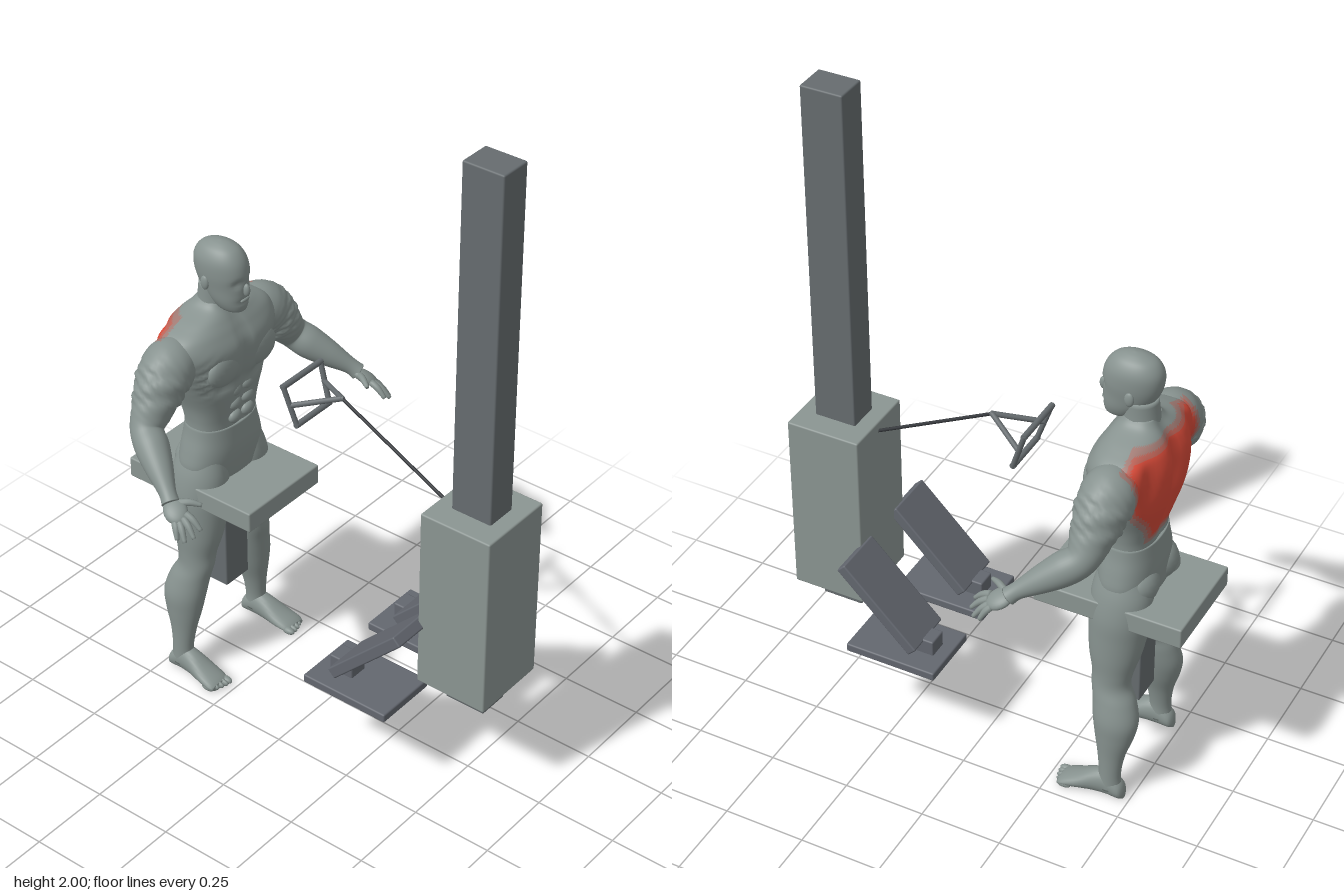
import * as THREE from 'three';
import { RoundedBoxGeometry } from 'three/addons/geometries/RoundedBoxGeometry.js';

const mat = (name, color) => Object.assign(new THREE.MeshStandardMaterial({ color }), { name });
const M = {
  skin: mat('skin grey', 0x87928f), red: mat('muscle red', 0xd84a38),
  blendA: mat('muscle blend strong', 0xbb6256), blendB: mat('muscle blend soft', 0xa17a73),
  pad: mat('pad grey', 0x8b9592), metal: mat('column grey', 0x666c6f),
  plate: mat('plate slate', 0x63676f), cable: mat('cable dark', 0x33363a),
};
const SKINS = [M.skin, M.blendB, M.blendA, M.red];
const V = (x, y, z) => new THREE.Vector3(x, y, z);
const bump = (d, w) => Math.exp(-(d * d) / (w * w));
const TAU = Math.PI * 2;

// Smoothly resample rows of numbers
function spline(keys, n) {
  const out = [], last = keys.length - 1;
  for (let i = 0; i <= n; i++) {
    const u = (i / n) * last, j = Math.min(Math.floor(u), last - 1), t = u - j;
    const [a, b, c, d] = [-1, 0, 1, 2].map(o => keys[Math.max(0, Math.min(last, j + o))]);
    out.push(b.map((_, k) => 0.5 * (2 * b[k] + (c[k] - a[k]) * t + (2 * a[k] - 5 * b[k] + 4 * c[k] - d[k]) * t * t
      + (3 * b[k] - a[k] - 3 * c[k] + d[k]) * t ** 3)));
  }
  return out;
}

// Closed skin through rings of points; shade(p) picks a skin index for each face
function loft(rings, shade = () => 0) {
  const n = rings[0].length, pts = rings.flat(), tris = [];
  for (let r = 0; r < rings.length - 1; r++) for (let i = 0; i < n; i++) {
    const a = r * n + i, b = r * n + (i + 1) % n;
    tris.push([a, a + n, b], [b, a + n, b + n]);
  }
  [[0, 1], [rings.length - 1, -1]].forEach(([r, s]) => {
    const c = pts.length;
    pts.push(rings[r].reduce((m, p) => m.add(p), V(0, 0, 0)).divideScalar(n));
    for (let i = 0; i < n; i++) {
      const a = r * n + i, b = r * n + (i + 1) % n;
      tris.push(s > 0 ? [c, a, b] : [c, b, a]);
    }
  });
  const origin = pts[pts.length - 1], cross = V(0, 0, 0), rel = i => pts[i].clone().sub(origin);
  const volume = tris.reduce((v, [a, b, c]) => v + rel(a).dot(cross.crossVectors(rel(b), rel(c))), 0);
  if (volume < 0) tris.forEach(t => t.reverse());
  const buckets = [[], [], [], []];
  tris.forEach(t => {
    const c = V(0, 0, 0);
    t.forEach(i => c.add(pts[i]));
    buckets[shade(c.divideScalar(3))].push(...t);
  });
  const g = new THREE.BufferGeometry().setFromPoints(pts);
  g.setIndex(buckets.flat());
  let start = 0;
  buckets.forEach((b, i) => { if (b.length) g.addGroup(start, b.length, i); start += b.length; });
  g.computeVertexNormals();
  return g;
}

// Horizontal ring from [y, centre x, half width, front z, back z]
function level([y, cx, rx, zf, zb], n, power = 1, warp = null) {
  return Array.from({ length: n }, (_, i) => {
    const c = Math.cos(i / n * TAU), s = Math.sin(i / n * TAU);
    const e = v => Math.sign(v) * Math.abs(v) ** power;
    const p = V(cx + rx * e(c), y, (zf + zb) / 2 + (zf - zb) / 2 * e(s));
    if (warp) warp(p, s);
    return p;
  });
}

// Limb rings across a path of [x, y, z, radius]
function limb(rows, n, rough = () => 0) {
  const at = i => V(...rows[Math.max(0, Math.min(rows.length - 1, i))]);
  return rows.map((r, i) => {
    const t = at(i + 1).sub(at(i - 1)).normalize();
    const u = V(Math.sign(r[0]) || 1, 1, 0.1).cross(t).normalize(), v = t.clone().cross(u);
    return Array.from({ length: n }, (_, k) => {
      const a = k / n * TAU, rad = r[3] * (1 + rough(i / (rows.length - 1), a));
      return at(i).addScaledVector(u, rad * Math.cos(a)).addScaledVector(v, rad * Math.sin(a));
    });
  });
}

// Highlighted back muscles, fading toward the edge
function backShade(p) {
  const w = 0.085 + 0.12 * THREE.MathUtils.smoothstep(p.y, 0.87, 1.1);
  const d = Math.min(w - Math.abs(p.x), p.y - 0.87, 1.215 - p.y, -0.445 - p.z);
  return d > 0.026 ? 3 : d > 0.014 ? 2 : d > 0.002 ? 1 : 0;
}

export function createModel() {
  const model = new THREE.Group();
  const machine = new THREE.Group(), figure = new THREE.Group();
  machine.name = 'rowingMachine'; figure.name = 'figure';
  model.add(machine, figure);
  const add = (parent, name, geo, material) => {
    const m = new THREE.Mesh(geo, material);
    m.name = name;
    parent.add(m);
    return m;
  };
  const box = (name, material, x0, x1, y0, y1, z0, z1) => {
    const m = add(machine, name, new RoundedBoxGeometry(x1 - x0, y1 - y0, z1 - z0, 2, 0.005), material);
    m.position.set((x0 + x1) / 2, (y0 + y1) / 2, (z0 + z1) / 2);
    return m;
  };
  const rod = (name, a, b, r, material) => {
    const m = add(machine, name, new THREE.CylinderGeometry(r, r, a.distanceTo(b) + r, 10), material);
    m.position.copy(a).lerp(b, 0.5);
    m.quaternion.setFromUnitVectors(V(0, 1, 0), b.clone().sub(a).normalize());
  };
  const ball = (name, x, y, z, rx, ry, rz) => {
    const m = add(figure, name, new THREE.SphereGeometry(1, 20, 14), M.skin);
    m.position.set(x, y, z);
    m.scale.set(rx, ry, rz);
    return m;
  };

  // Machine frame and seat
  box('column', M.metal, -0.05, 0.05, 0.27, 2, 0.45, 0.58);
  box('weightHousing', M.pad, -0.123, 0.123, 0.35, 0.93, 0.4, 0.63);
  box('seat', M.pad, -0.157, 0.157, 0.615, 0.68, -0.63, -0.175);
  box('seatPost', M.metal, -0.05, 0.05, 0.27, 0.62, -0.465, -0.36);

  // Foot rests
  for (const s of [-1, 1]) {
    const c = s * 0.15;
    box('footBase', M.plate, c - 0.102, c + 0.102, 0.27, 0.297, 0.095, 0.385);
    box('footBracket', M.plate, c - 0.031, c + 0.031, 0.29, 0.345, 0.135, 0.215);
    box('footPlate', M.plate, c - 0.081, c + 0.081, 0.425, 0.46, 0.13, 0.455).rotation.x = -Math.PI / 4;
  }

  // Cable and grip
  const apex = V(0, 1.085, 0.035);
  rod('cable', V(0, 0.9, 0.4), apex, 0.005, M.cable);
  rod('gripTopBar', V(-0.082, 1.107, -0.107), V(0.082, 1.107, -0.107), 0.009, M.metal);
  rod('gripBottomBar', V(-0.072, 0.99, -0.068), V(0.072, 0.99, -0.068), 0.009, M.metal);
  for (const s of [-1, 1]) {
    rod('gripSide', V(s * 0.082, 1.107, -0.107), V(s * 0.072, 0.99, -0.068), 0.008, M.metal);
    rod('gripArm', apex, V(s * 0.077, 1.05, -0.088), 0.008, M.metal);
  }

  // Torso with spine groove, chest cleft and rib folds
  const torso = spline([
    [0.845, 0, 0.116, -0.335, -0.488], [0.88, 0, 0.118, -0.333, -0.49], [0.93, 0, 0.128, -0.325, -0.505],
    [1.0, 0, 0.155, -0.315, -0.525], [1.07, 0, 0.18, -0.303, -0.535], [1.13, 0, 0.2, -0.303, -0.535],
    [1.175, 0, 0.19, -0.325, -0.522], [1.205, 0, 0.135, -0.345, -0.503], [1.23, 0, 0.07, -0.362, -0.482],
    [1.25, 0, 0.048, -0.37, -0.468]], 56);
  const torsoWarp = (p, s) => {
    const back = Math.max(0, -s), front = Math.max(0, s), x = Math.abs(p.x);
    p.z += back * (0.034 * bump(p.x, 0.026) * bump(p.y - 1.07, 0.14) + 0.02 * bump(x - 0.13, 0.03) * bump(p.y - 1.13, 0.08));
    p.z -= front * 0.014 * bump(p.x, 0.016) * bump(p.y - 1.05, 0.15);
    p.z -= front * 0.014 * bump(p.y - 1.01, 0.018) * bump(x - 0.08, 0.06);
    p.z += front * 0.011 * Math.sin(p.y * 190 + x * 120) * bump(x - 0.14, 0.035) * bump(p.y - 1.05, 0.05);
  };
  add(figure, 'torso', loft(torso.map(r => level(r, 80, 0.8, torsoWarp)), backShade), SKINS);
  const pelvis = spline([
    [0.63, 0, 0.07, -0.36, -0.46], [0.67, 0, 0.125, -0.338, -0.495], [0.72, 0, 0.148, -0.33, -0.5],
    [0.77, 0, 0.14, -0.326, -0.5], [0.82, 0, 0.126, -0.329, -0.495], [0.855, 0, 0.12, -0.332, -0.491]], 20);
  add(figure, 'pelvis', loft(pelvis.map(r => level(r, 48, 0.88))), SKINS);

  // Head and neck
  add(figure, 'neck', loft(spline([[1.19, 0, 0.07, -0.35, -0.485], [1.23, 0, 0.053, -0.363, -0.472],
    [1.3, 0, 0.05, -0.36, -0.462]], 8).map(r => level(r, 28))), SKINS);
  const head = spline([
    [1.229, 0, 0.016, -0.325, -0.36], [1.236, 0, 0.034, -0.312, -0.4], [1.265, 0, 0.048, -0.307, -0.43],
    [1.305, 0, 0.055, -0.306, -0.462], [1.345, 0, 0.06, -0.303, -0.477], [1.385, 0, 0.058, -0.311, -0.477],
    [1.415, 0, 0.043, -0.332, -0.458], [1.43, 0, 0.021, -0.362, -0.425], [1.435, 0, 0.003, -0.39, -0.396]], 40);
  add(figure, 'head', loft(head.map(r => level(r, 40, 0.95, (p, s) => {
    if (s > 0) p.z -= 0.009 * bump(Math.abs(p.x) - 0.024, 0.013) * bump(p.y - 1.328, 0.012)
      + 0.005 * bump(p.x, 0.025) * bump(p.y - 1.268, 0.006);
  }))), SKINS);
  ball('nose', 0, 1.305, -0.303, 0.009, 0.02, 0.012);
  ball('lips', 0, 1.272, -0.309, 0.018, 0.006, 0.006);

  for (const s of [-1, 1]) {
    ball('ear', s * 0.058, 1.318, -0.405, 0.008, 0.022, 0.014);
    ball('pectoral', s * 0.075, 1.075, -0.325, 0.068, 0.055, 0.026);
    ball('buttock', s * 0.062, 0.715, -0.455, 0.066, 0.062, 0.058);
    for (const y of [0.885, 0.93, 0.975]) ball('abdominal', s * 0.027, y, -0.333, 0.025, 0.021, 0.016);

    // Arm with a crumpled upper band
    const arm = spline([
      [0.13, 1.12, -0.425, 0.06], [0.19, 1.11, -0.422, 0.078], [0.235, 1.075, -0.418, 0.076],
      [0.28, 1.02, -0.413, 0.062], [0.32, 0.968, -0.403, 0.048], [0.345, 0.935, -0.362, 0.049],
      [0.375, 0.9, -0.31, 0.039], [0.405, 0.865, -0.258, 0.025], [0.418, 0.845, -0.235, 0.026]], 64)
      .map(([x, ...r]) => [s * x, ...r]);
    const crumple = (t, a) => 0.09 * bump(t - 0.3, 0.1) * Math.sin(5 * a + t * 40) * Math.sin(t * 95 + 2 * a);
    add(figure, 'arm', loft(limb(arm, 40, crumple), backShade), SKINS);

    // Hand
    const palm = ball('palm', s * 0.424, 0.832, -0.213, 0.034, 0.017, 0.042);
    palm.rotation.set(0.55, s * 0.45, s * -0.5);
    [[0.443, 0.815, -0.2, 0.467, 0.775, -0.172], [0.437, 0.815, -0.19, 0.46, 0.772, -0.15],
      [0.427, 0.822, -0.183, 0.44, 0.782, -0.133], [0.415, 0.83, -0.183, 0.413, 0.795, -0.131],
      [0.405, 0.845, -0.22, 0.37, 0.843, -0.163]].forEach(([x, y, z, a, b, c], i) => {
      const rows = spline([[s * x, y, z, 0.011], [s * (x + a) / 2, (y + b) / 2 + 0.006, (z + c) / 2, 0.01],
        [s * a, b, c, 0.006]], 8);
      add(figure, i < 4 ? 'finger' : 'thumb', loft(limb(rows, 10)), SKINS);
    });

    // Leg
    const leg = spline([
      [0.76, 0.08, 0.055, -0.345, -0.48], [0.7, 0.085, 0.074, -0.33, -0.505], [0.63, 0.092, 0.081, -0.327, -0.508],
      [0.56, 0.098, 0.076, -0.328, -0.5], [0.49, 0.108, 0.066, -0.336, -0.488], [0.43, 0.118, 0.054, -0.35, -0.472],
      [0.385, 0.126, 0.049, -0.353, -0.468], [0.34, 0.136, 0.053, -0.362, -0.49], [0.28, 0.148, 0.055, -0.37, -0.506],
      [0.22, 0.155, 0.047, -0.38, -0.497], [0.15, 0.164, 0.034, -0.394, -0.476], [0.08, 0.17, 0.028, -0.402, -0.468],
      [0.03, 0.17, 0.03, -0.395, -0.474]], 60).map(([y, x, ...r]) => [y, s * x, ...r]);
    add(figure, 'leg', loft(leg.map(r => level(r, 36))), SKINS);

    // Foot from [z, centre x, half width, height], then toes
    const foot = spline([[-0.482, 0.17, 0.012, 0.03], [-0.47, 0.17, 0.027, 0.055], [-0.43, 0.17, 0.03, 0.085],
      [-0.39, 0.171, 0.034, 0.078], [-0.34, 0.174, 0.041, 0.05], [-0.3, 0.177, 0.041, 0.03], [-0.285, 0.178, 0.034, 0.02]], 24);
    add(figure, 'foot', loft(foot.map(([z, x, w, h]) => Array.from({ length: 24 }, (_, i) => {
      const a = i / 24 * TAU;
      return V(s * x + w * Math.cos(a), h / 2 * (1 + Math.sin(a)), z);
    }))), SKINS);
    for (let i = 0; i < 5; i++)
      ball('toe', s * (0.148 + i * 0.0155), 0.011, -0.288 - i * i * 0.0012, i ? 0.008 : 0.012, 0.011, 0.022);
  }
  return model;
}
